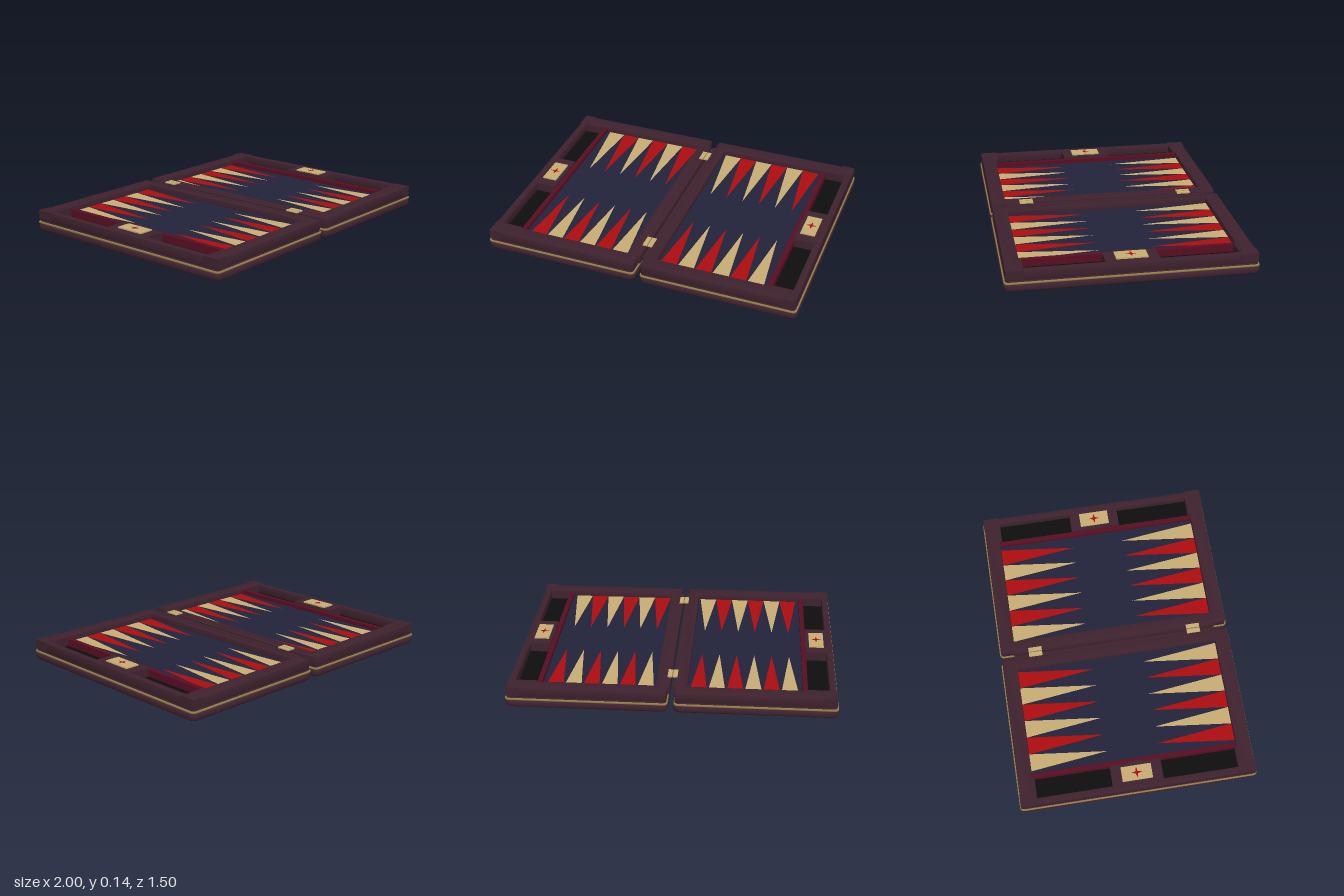
import * as THREE from 'three';
import { toCreasedNormals } from 'three/addons/utils/BufferGeometryUtils.js';

export function createModel() {
  const paint = (name, color) => {
    const m = new THREE.MeshStandardMaterial({ color });
    m.name = name;
    return m;
  };
  const leather = paint('burgundy leather', 0x3e222d);
  const brass = paint('brass piping', 0x8e7848);
  const tan = paint('tan felt', 0xc8ad74);
  const red = paint('red felt', 0xae0d0f);
  const navy = paint('navy felt', 0x22223a);
  const black = paint('black lining', 0x0f0e0f);
  const wine = paint('wine divider', 0x570e22);

  const add = (parent, name, geometry, material) => {
    const mesh = new THREE.Mesh(geometry, material);
    mesh.name = name;
    parent.add(mesh);
    return mesh;
  };

  // Box given by its limits, with x mirrored by s
  const box = (parent, name, material, s, x0, x1, y0, y1, z0, z1) => {
    const g = new THREE.BoxGeometry(x1 - x0, y1 - y0, z1 - z0);
    g.translate(s * (x0 + x1) / 2, (y0 + y1) / 2, (z0 + z1) / 2);
    return add(parent, name, g, material);
  };

  // Rounded rectangle traced as a shape or a hole
  const roundRect = (path, w, d, r) => {
    const a = w / 2, b = d / 2;
    path.moveTo(-a + r, -b).lineTo(a - r, -b);
    path.absarc(a - r, -b + r, r, -Math.PI / 2, 0);
    path.absarc(a - r, b - r, r, 0, Math.PI / 2);
    path.absarc(-a + r, b - r, r, Math.PI / 2, Math.PI);
    path.absarc(-a + r, -b + r, r, Math.PI, Math.PI * 1.5);
    return path;
  };

  // Flat rounded slab with softened edges; size is the full outer size
  const slab = (x, w, d, r, y0, y1, bevel, segments, hole) => {
    const shape = roundRect(new THREE.Shape(), w - 2 * bevel, d - 2 * bevel, r);
    if (hole) {
      const [x0, x1, z] = hole;
      const h = new THREE.Path();
      h.moveTo(x0 - x, -z).lineTo(x0 - x, z).lineTo(x1 - x, z).lineTo(x1 - x, -z).closePath();
      shape.holes.push(h);
    }
    const g = new THREE.ExtrudeGeometry(shape, {
      depth: y1 - y0 - 2 * bevel, bevelSize: bevel, bevelThickness: bevel,
      bevelSegments: segments, curveSegments: 5,
    });
    g.rotateX(-Math.PI / 2).translate(x, y0 + bevel, 0);
    return toCreasedNormals(g, 0.6);
  };

  // Polygons lying flat, given as lists of [x, z]
  const flat = (polygons, y) => {
    const shapes = polygons.map((p) => new THREE.Shape(p.map(([x, z]) => new THREE.Vector2(x, -z))));
    return new THREE.ShapeGeometry(shapes).rotateX(-Math.PI / 2).translate(0, y, 0);
  };

  const model = new THREE.Group();
  model.name = 'backgammonBoard';
  const fieldY = 0.09;

  for (const s of [-1, 1]) {
    const half = new THREE.Group();
    half.name = s < 0 ? 'rightHalf' : 'leftHalf';
    model.add(half);

    // Padded shell with piping and a thin lip
    const cx = s * 0.5075;
    add(half, 'paddedBase', slab(cx, 0.985, 1.5, 0.02, 0, 0.05, 0.02, 4), leather);
    add(half, 'piping', slab(cx, 0.98, 1.495, 0.02, 0.047, 0.06, 0.005, 3), brass);
    add(half, 'lip', slab(cx, 0.962, 1.478, 0.02, 0.056, 0.066, 0.003, 1), leather);

    // Raised frame around the playing field and trays
    const hole = [s * 0.091, s * 0.949].sort((a, b) => a - b);
    add(half, 'frame', slab(s * 0.505, 0.96, 1.47, 0.008, 0.06, 0.128, 0.004, 2,
      [...hole, 0.649]), leather);
    box(half, 'hingeStrip', leather, s, 0.009, 0.045, 0.075, 0.126, -0.655, 0.655);
    box(half, 'innerMoulding', leather, s, 0.045, 0.05, 0.12, 0.13, -0.65, 0.65);

    // Wrapped outer corners
    for (const t of [-1, 1]) {
      const z = (a, b) => [t * a, t * b].sort((p, q) => p - q);
      box(half, 'cornerWrap', leather, s, 0.91, 0.988, 0.075, 0.13, ...z(0.645, 0.738));
      box(half, 'cornerWrapSide', leather, s, 0.945, 0.988, 0.075, 0.13, ...z(0.63, 0.738));
      box(half, 'trayEnd', leather, s, 0.815, 0.95, 0.064, 0.126, ...z(0.632, 0.66));
    }

    // Field, divider and lined checker trays
    box(half, 'playingField', navy, s, 0.088, 0.79, 0.06, fieldY, -0.65, 0.65);
    box(half, 'divider', wine, s, 0.786, 0.816, 0.06, 0.115, -0.65, 0.65);
    box(half, 'trayLining', black, s, 0.816, 0.948, 0.06, 0.07, -0.64, 0.64);

    // Points, alternating along both long edges
    const points = { tan: [], red: [] };
    const start = s < 0 ? -0.765 : 0.105;
    for (let i = 0; i < 6; i++) {
      const x = start + i * 0.11;
      const back = [[x, -0.645], [x + 0.055, -0.16], [x + 0.11, -0.645]];
      const front = [[x, 0.645], [x + 0.11, 0.645], [x + 0.055, 0.16]];
      points[i % 2 ? 'red' : 'tan'].push(back);
      points[i % 2 ? 'tan' : 'red'].push(front);
    }
    add(half, 'tanPoints', flat(points.tan, fieldY + 0.002), tan);
    add(half, 'redPoints', flat(points.red, fieldY + 0.002), red);

    // Bridge between the trays with a decorated plate
    box(half, 'trayBridge', leather, s, 0.816, 0.948, 0.064, 0.128, -0.16, 0.16);
    box(half, 'bridgeTab', leather, s, 0.81, 0.832, 0.1, 0.131, -0.045, 0.045);
    box(half, 'bridgePlate', tan, s, 0.837, 0.93, 0.127, 0.136, -0.095, 0.095);
    const star = [];
    for (let i = 0; i < 8; i++) {
      const r = i % 2 ? 0.01 : 0.036;
      const a = i * Math.PI / 4;
      star.push([s * 0.883 + r * Math.cos(a), r * Math.sin(a)]);
    }
    add(half, 'plateStar', flat([star], 0.1375), red);

    // Hinge leaves
    for (const z of [-0.515, 0.515]) {
      box(half, 'hingeLeaf', tan, s, 0.003, 0.03, 0.137, 0.145, z - 0.043, z + 0.043);
      box(half, 'hingeFoot', leather, s, 0.012, 0.025, 0.12, 0.138, z - 0.03, z + 0.03);
    }
  }

  // Hinge pins
  for (const z of [-0.515, 0.515]) {
    const pin = new THREE.CylinderGeometry(0.005, 0.005, 0.084, 10).rotateX(Math.PI / 2);
    add(model, 'hingePin', pin, brass).position.set(0, 0.14, z);
  }
  return model;
}
